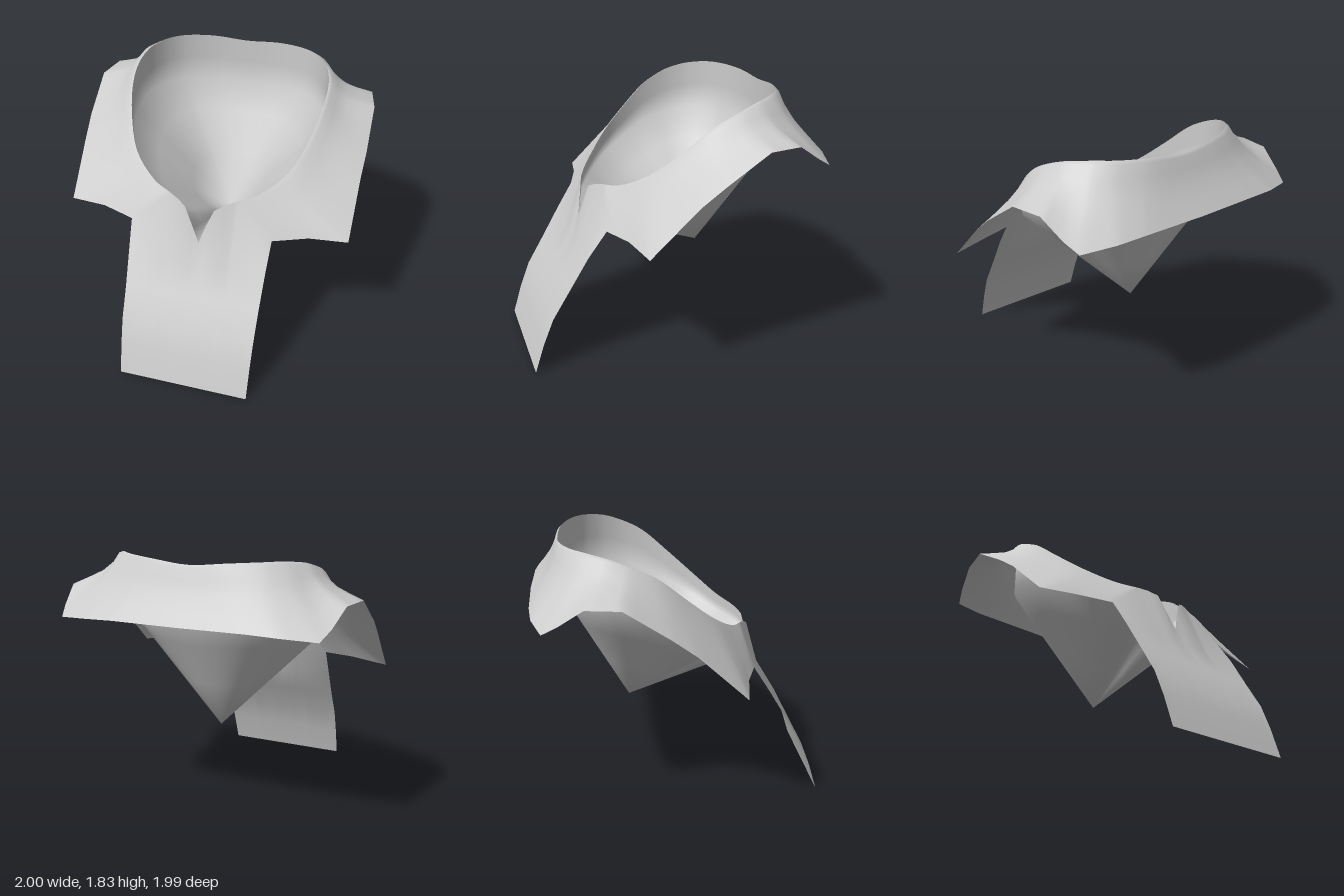
import * as THREE from 'three';
import { mergeGeometries, mergeVertices } from 'three/addons/utils/BufferGeometryUtils.js';

const V = (x, y, z) => new THREE.Vector3(x, y, z);
const mirror = (p) => V(-p.x, p.y, p.z);

// Half of the collar, from the back centre to the armpit: neck rim point, outer hem point
const HALF = [
  [[0, 1.81, -0.80], [0, 1.46, -1.0]],
  [[0.25, 1.83, -0.78], [0.45, 1.46, -0.99]],
  [[0.45, 1.84, -0.71], [0.66, 1.45, -0.97]],
  [[0.55, 1.84, -0.63], [0.88, 1.43, -0.90]],
  [[0.61, 1.83, -0.55], [0.92, 1.49, -0.80]],
  [[0.65, 1.815, -0.47], [0.96, 1.60, -0.64]],
  [[0.68, 1.77, -0.34], [1.0, 1.60, -0.42]],
  [[0.675, 1.69, -0.18], [1.0, 1.41, -0.13]],
  [[0.63, 1.54, 0], [0.99, 1.29, 0.03]],
  [[0.53, 1.37, 0.20], [0.98, 0.99, 0.35]],
  [[0.36, 1.26, 0.35], [0.72, 1.01, 0.40]],
  [[0.22, 1.23, 0.43], [0.49, 1.0, 0.48]],
];

// Surface through a list of columns, each a list of points
function grid(columns) {
  const rows = columns[0].length, pos = [], idx = [];
  columns.forEach((c) => c.forEach((p) => pos.push(p.x, p.y, p.z)));
  for (let i = 0; i < columns.length - 1; i++) {
    for (let j = 0; j < rows - 1; j++) {
      const a = i * rows + j, b = a + rows;
      idx.push(a, b, a + 1, b, b + 1, a + 1);
    }
  }
  const g = new THREE.BufferGeometry();
  g.setAttribute('position', new THREE.Float32BufferAttribute(pos, 3));
  g.setIndex(idx);
  return g;
}

function smooth(geometry) {
  const g = mergeVertices(geometry, 1e-4);
  g.computeVertexNormals();
  return g;
}

export function createModel() {
  const group = new THREE.Group();
  const cloth = new THREE.MeshStandardMaterial({ color: 0xcccccc, side: THREE.DoubleSide });
  cloth.name = 'pale grey cloth';

  // Full run of stations: right armpit, round the back, left armpit
  const half = HALF.map(([r, o]) => [V(...r), V(...o)]);
  const full = [...half.slice(1).reverse().map((s) => s.map(mirror)), ...half];
  const rimCurve = new THREE.CatmullRomCurve3(full.map((s) => s[0]));
  const SUB = 4, count = (full.length - 1) * SUB;
  const rim = [], hem = [];
  for (let k = 0; k <= count; k++) {
    const i = Math.min(Math.floor(k / SUB), full.length - 2);
    rim.push(rimCurve.getPoint(k / count));
    hem.push(full[i][1].clone().lerp(full[i + 1][1], k / SUB - i));
  }

  // Collar: rolled edge at the neck, then a slightly hollow slope to the hem
  const STEPS = [[0, 0], [0.08, 0.012], [0.2, -0.02], [0.42, -0.035], [0.7, -0.02], [1, 0]];
  const collarColumns = rim.map((r, k) => {
    const f = THREE.MathUtils.clamp((r.y - 1.23) / 0.58, 0, 1);
    return STEPS.map(([t, lift]) => {
      const p = r.clone().lerp(hem[k], t);
      p.y += lift * f;
      return p;
    });
  });

  // Front panel: hangs from the armpits, the rim and the notch
  const notch = [V(0.16, 1.215, 0.462), V(0.10, 1.185, 0.495), V(0.05, 1.07, 0.52)];
  const tip = V(0.005, 0.94, 0.55);
  const leftTops = [...collarColumns[count].slice().reverse(), ...notch];
  const rightTops = [...collarColumns[0].slice().reverse(), ...notch.map(mirror)];
  const tops = [...leftTops, tip, ...rightTops.reverse()];
  const DROP = [[0.82, 0.60, 0.98], [0.6, 0.73, 0.96], [0.4, 0.85, 0.95], [0.22, 0.92, 0.94], [0.01, 0.985, 0.93]];
  const panelColumns = tops.map((p) => [p, ...DROP.map(([y, z, w]) => V(p.x * w, y, z + p.x * 0.015))]);

  const shell = new THREE.Mesh(smooth(mergeGeometries([grid(collarColumns), grid(panelColumns)])), cloth);
  shell.name = 'collarAndFrontPanel';
  group.add(shell);

  // Lining: a pouch falling from the rim and narrowing to a low point
  const apex = V(0, 0.63, -0.34);
  const loop = [tip, ...notch.slice().reverse().map(mirror), ...rim, ...notch, tip];
  const liningColumns = loop.map((r) => {
    const wall = V(r.x, r.y - 0.34 * (r.y - 0.94) / 0.88, r.z);
    return [
      r, r.clone().lerp(wall, 0.5), wall,
      wall.clone().lerp(apex, 0.25), wall.clone().lerp(apex, 0.6), apex,
    ];
  });
  const lining = new THREE.Mesh(smooth(grid(liningColumns)), cloth);
  lining.name = 'lining';
  group.add(lining);

  return group;
}
